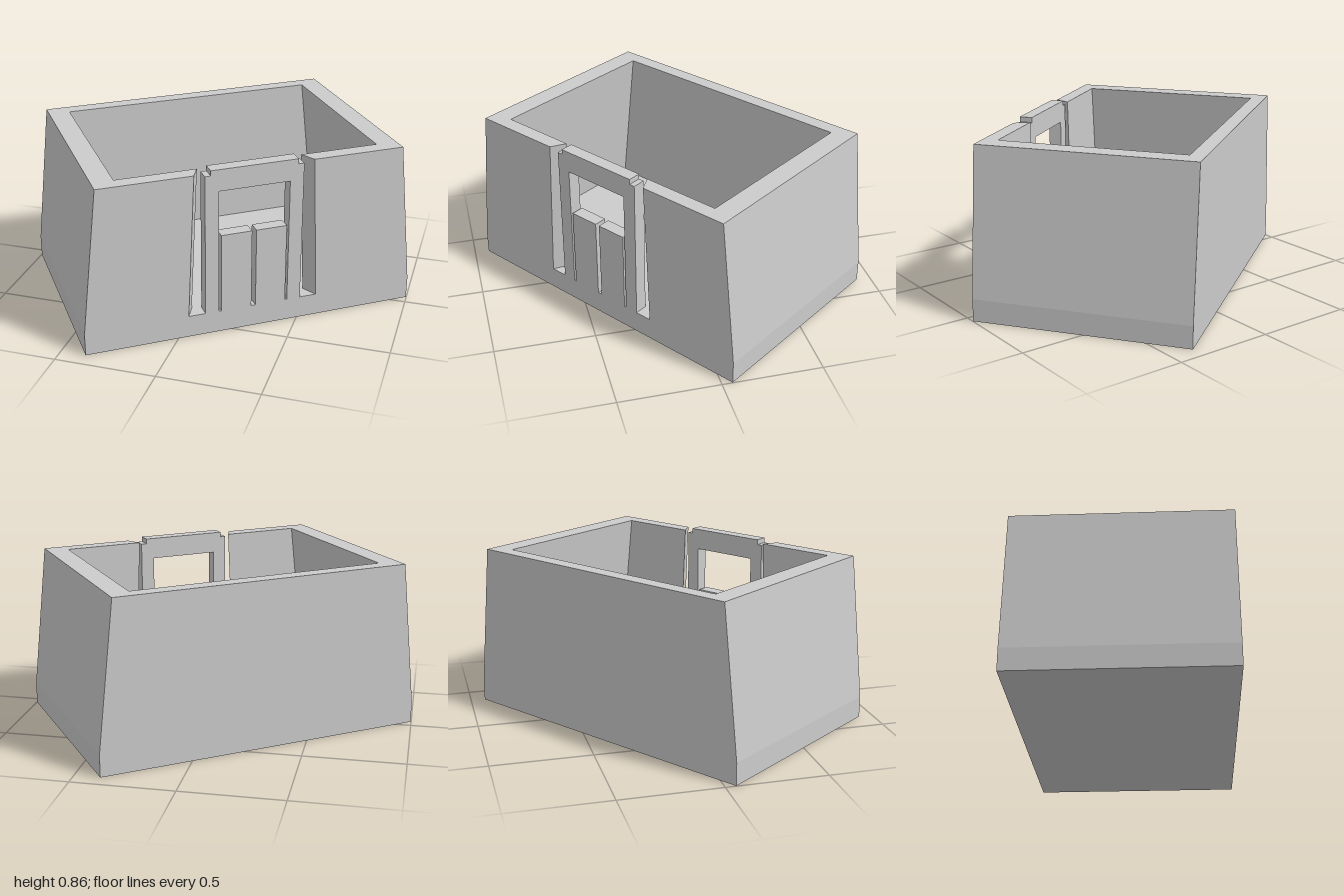
import * as THREE from 'three';

const material = new THREE.MeshStandardMaterial({ color: 0xcccccc, flatShading: true });

// Key heights and half sizes, in the building's own axes
const FLOOR = 0.112, TOP = 0.845;
const HALF_DEPTH = 0.5375, INNER_DEPTH = 0.4625;
const BASE_X = 0.8425, TOP_X = 0.7615, END_THICKNESS = 0.106;

// Six-sided block; spanX(isTop, isFront) gives the x range at each edge
function block(name, y0, y1, z0, z1, spanX) {
  const geometry = new THREE.BoxGeometry(1, 1, 1);
  const p = geometry.attributes.position;
  for (let i = 0; i < p.count; i++) {
    const isTop = p.getY(i) > 0, isFront = p.getZ(i) > 0;
    const span = spanX(isTop, isFront).sort((a, b) => a - b);
    p.setXYZ(i, span[p.getX(i) > 0 ? 1 : 0], isTop ? y1 : y0, isFront ? z1 : z0);
  }
  geometry.computeVertexNormals();
  const mesh = new THREE.Mesh(geometry, material);
  mesh.name = name;
  return mesh;
}

export function createModel() {
  const model = new THREE.Group();
  model.name = 'walledCourtyard';
  const building = new THREE.Group();
  building.name = 'building';
  building.rotation.y = 0.62;
  model.add(building);

  const outer = (isTop) => (isTop ? TOP_X : BASE_X);

  // Floor slab and back wall with sloping ends
  building.add(block('floorSlab', 0, FLOOR, -HALF_DEPTH, HALF_DEPTH, () => [-BASE_X, BASE_X]));
  building.add(block('backWall', FLOOR, TOP, -HALF_DEPTH, -INNER_DEPTH,
    (isTop) => [-outer(isTop), outer(isTop)]));

  // Leaning end walls and front walls with splayed gateway jambs
  for (const [side, s] of [['left', 1], ['right', -1]]) {
    building.add(block(side + 'EndWall', FLOOR, TOP, -INNER_DEPTH, INNER_DEPTH,
      (isTop) => [s * outer(isTop), s * (outer(isTop) - END_THICKNESS)]));
    building.add(block(side + 'FrontWall', FLOOR, TOP, INNER_DEPTH, HALF_DEPTH,
      (isTop, isFront) => [s * outer(isTop), s * ((isTop ? 0.26 : 0.292) + (isFront ? 0.039 : 0))]));
  }

  // Free-standing gateway: posts, lintel, raised cap and two low doors
  const gate = new THREE.Group();
  gate.name = 'gateway';
  building.add(gate);
  const z0 = 0.472, z1 = HALF_DEPTH;
  for (const [side, s] of [['left', 1], ['right', -1]]) {
    gate.add(block(side + 'Post', FLOOR, 0.75, z0, z1, () => [s * 0.177, s * 0.246]));
    gate.add(block(side + 'Door', FLOOR, 0.52, z0, z1, () => [s * 0.011, s * 0.166]));
  }
  gate.add(block('lintel', 0.75, 0.833, z0, z1, () => [-0.246, 0.246]));
  gate.add(block('lintelCap', 0.833, 0.859, z0, z1, () => [-0.218, 0.218]));

  return model;
}
